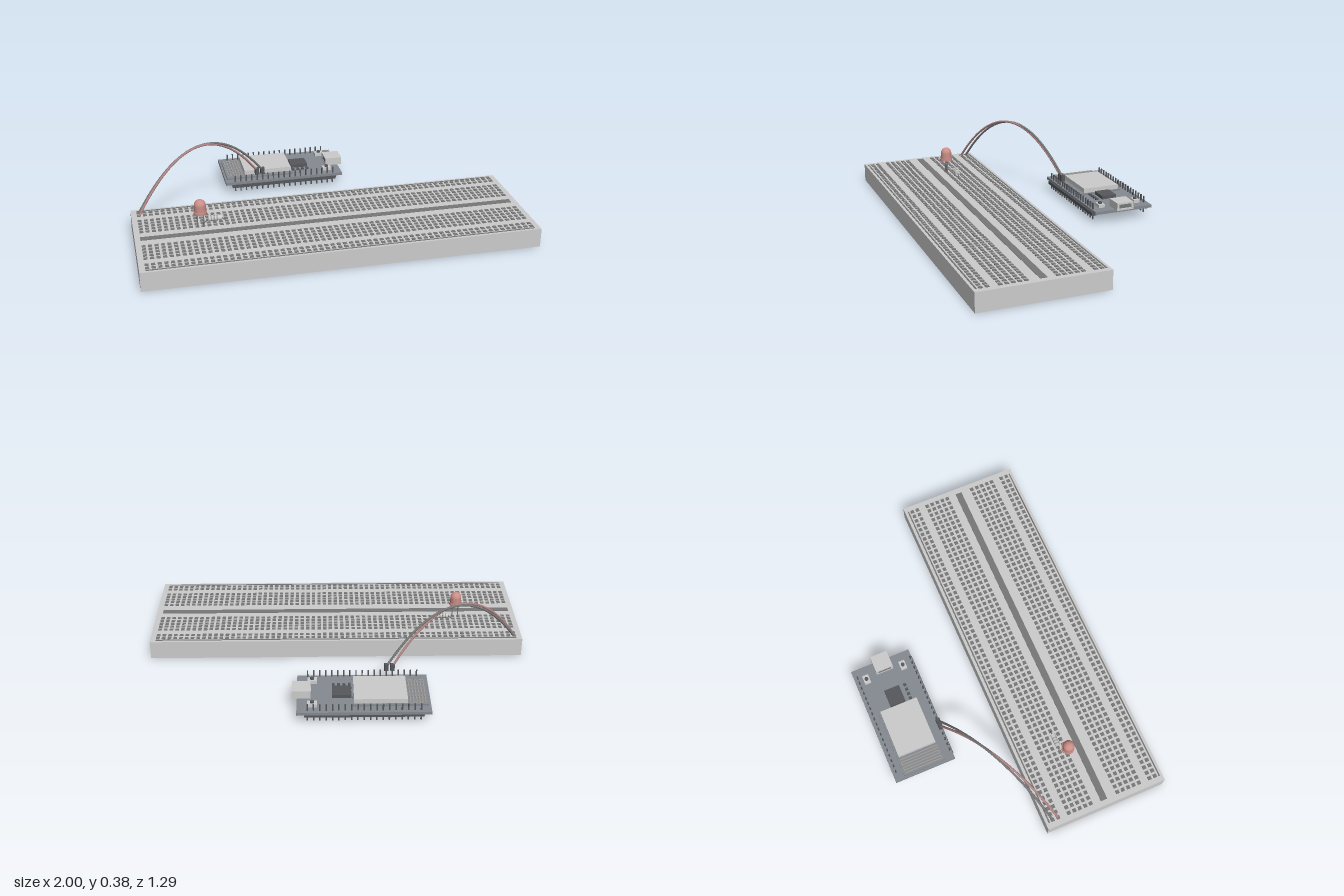
import * as THREE from 'three';
import { mergeGeometries } from 'three/addons/utils/BufferGeometryUtils.js';

const mat = (color) => new THREE.MeshStandardMaterial({ color });
const grey = mat(0xcccccc), dark = mat(0x777777), black = mat(0x55585c);
const pcbMat = mat(0x858a91), ledMat = mat(0xcc8f88), wireRed = mat(0xb08484), trace = mat(0xa39c94);

function add(parent, name, geometry, material) {
  const m = new THREE.Mesh(geometry, material);
  m.name = name;
  parent.add(m);
  return m;
}

// Box geometry from its minimum and maximum on each axis
function span(x0, x1, y0, y1, z0, z1) {
  return new THREE.BoxGeometry(x1 - x0, y1 - y0, z1 - z0)
    .translate((x0 + x1) / 2, (y0 + y1) / 2, (z0 + z1) / 2);
}

// Box geometry from centre and size
const block = (x, y, z, w, h, d) => new THREE.BoxGeometry(w, h, d).translate(x, y, z);

const PITCH = 0.031;

function breadboard() {
  const g = new THREE.Group();
  g.name = 'breadboard';
  add(g, 'boardBody', span(-1, 1, 0, 0.1, -0.022, 0.643), grey);
  add(g, 'centreGroove', span(-0.972, 0.968, 0.096, 0.102, 0.288, 0.324), dark);
  for (const z of [-0.003, 0.625]) {
    add(g, 'railLine', block(0, 0.1, z, 1.94, 0.004, 0.007), dark);
  }
  // Rail rows and terminal rows, mirrored about the groove
  const rows = [];
  for (const z of [0.018, 0.049, 0.11, 0.141, 0.172, 0.203, 0.234]) rows.push(z, 0.621 - z);
  const holes = [];
  for (const z of rows) {
    for (let i = 0; i < 63; i++) {
      holes.push(block((i - 31) * PITCH, 0.1, z, 0.019, 0.006, 0.019));
    }
  }
  add(g, 'contactHoles', mergeGeometries(holes), dark);
  return g;
}

function controller() {
  const g = new THREE.Group();
  g.name = 'controllerBoard';
  add(g, 'circuitBoard', span(-0.457, 0.206, 0.053, 0.069, -0.647, -0.313), pcbMat);

  // Radio module: carrier, metal shield and meander antenna
  add(g, 'moduleCarrier', span(-0.445, -0.07, 0.069, 0.079, -0.595, -0.352), pcbMat);
  add(g, 'metalShield', span(-0.342, -0.077, 0.079, 0.104, -0.585, -0.377), grey);
  const antenna = [];
  for (let i = 0; i < 6; i++) {
    const x = -0.432 + i * 0.015;
    antenna.push(block(x, 0.08, -0.48, 0.005, 0.003, 0.21));
    if (i < 5) antenna.push(block(x + 0.0075, 0.08, -0.48 + (i % 2 ? -0.103 : 0.103), 0.02, 0.003, 0.005));
  }
  add(g, 'antennaTrace', mergeGeometries(antenna), trace);

  // Chip, small parts, buttons and socket
  add(g, 'interfaceChip', span(-0.066, 0.03, 0.069, 0.087, -0.522, -0.437), black);
  for (let i = 0; i < 4; i++) {
    add(g, 'smallComponent', block(-0.058 + i * 0.027, 0.073, -0.406, 0.014, 0.01, 0.016), black);
  }
  for (const z of [-0.585, -0.375]) {
    add(g, 'buttonBase', block(0.129, 0.078, z, 0.048, 0.018, 0.034), grey);
    add(g, 'buttonCap', new THREE.CylinderGeometry(0.01, 0.01, 0.01, 16).translate(0.129, 0.091, z), black);
  }
  const shell = new THREE.Shape();
  shell.moveTo(-0.048, -0.021).lineTo(0.048, -0.021).lineTo(0.048, 0.021).lineTo(-0.048, 0.021).closePath();
  const mouth = new THREE.Path();
  mouth.moveTo(-0.036, -0.012).lineTo(-0.036, 0.012).lineTo(0.036, 0.012).lineTo(0.036, -0.012).closePath();
  shell.holes.push(mouth);
  const shellGeo = new THREE.ExtrudeGeometry(shell, { depth: 0.094, bevelEnabled: false });
  add(g, 'usbShell', shellGeo.rotateY(Math.PI / 2).translate(0.136, 0.09, -0.476), grey);
  add(g, 'usbInsert', span(0.138, 0.222, 0.077, 0.103, -0.513, -0.439), dark);

  // Pin rows along both long edges
  for (const z of [-0.322, -0.627]) {
    const pins = [];
    for (let i = 0; i < 19; i++) pins.push(block(-0.405 + i * PITCH, 0.058, z, 0.007, 0.092, 0.007));
    add(g, 'headerPins', mergeGeometries(pins), black);
    add(g, 'headerStrip', block(-0.126, 0.045, z, 0.59, 0.018, 0.026), black);
  }
  return g;
}

function lightDiode() {
  const g = new THREE.Group();
  g.name = 'lightDiode';
  const pts = [[0, 0], [0.034, 0], [0.034, 0.011], [0.03, 0.011], [0.03, 0.044]]
    .map(([x, y]) => new THREE.Vector2(x, y));
  // Sharp rim and smooth dome as separate surfaces
  const parts = pts.slice(1).map((p, i) => new THREE.LatheGeometry([pts[i], p], 28));
  parts.push(new THREE.SphereGeometry(0.03, 28, 10, 0, Math.PI * 2, 0, Math.PI / 2).translate(0, 0.044, 0));
  parts.forEach((p) => add(g, 'lens', p, ledMat).position.set(0, 0.176, 0));
  for (const x of [-0.0155, 0.0155]) add(g, 'diodeLeg', block(x, 0.138, 0, 0.006, 0.078, 0.006), dark);
  g.position.set(-0.664, 0, 0.236);
  return g;
}

function resistor() {
  const g = new THREE.Group();
  g.name = 'resistor';
  add(g, 'resistorBody', new THREE.CylinderGeometry(0.0135, 0.0135, 0.068, 20).rotateZ(Math.PI / 2), grey);
  for (const x of [-0.02, -0.005, 0.01]) {
    add(g, 'colourBand', new THREE.CylinderGeometry(0.0138, 0.0138, 0.006, 20).rotateZ(Math.PI / 2).translate(x, 0, 0), trace);
  }
  for (const s of [-1, 1]) {
    const path = new THREE.LineCurve3(new THREE.Vector3(s * 0.034, 0, 0), new THREE.Vector3(s * 0.06, -0.024, 0));
    add(g, 'resistorLead', new THREE.TubeGeometry(path, 1, 0.003, 8), dark);
  }
  g.position.set(-0.587, 0.123, 0.203);
  return g;
}

// Arched wire from a rail hole to a socket pushed on a header pin
function jumperWire(startZ, endX, material) {
  const g = new THREE.Group();
  g.name = 'jumperWire';
  const path = new THREE.QuadraticBezierCurve3(
    new THREE.Vector3(-0.96, 0.098, startZ),
    new THREE.Vector3((-0.96 + endX) / 2, 0.645, (startZ - 0.322) / 2),
    new THREE.Vector3(endX, 0.125, -0.322));
  add(g, 'wire', new THREE.TubeGeometry(path, 48, 0.006, 10), material);
  add(g, 'wireSocket', block(endX, 0.122, -0.322, 0.022, 0.036, 0.022), black);
  return g;
}

export function createModel() {
  const model = new THREE.Group();
  model.name = 'breadboardCircuit';
  model.add(breadboard(), controller(), lightDiode(), resistor());
  model.add(jumperWire(0.049, -0.281, wireRed), jumperWire(0.018, -0.25, dark));
  return model;
}
